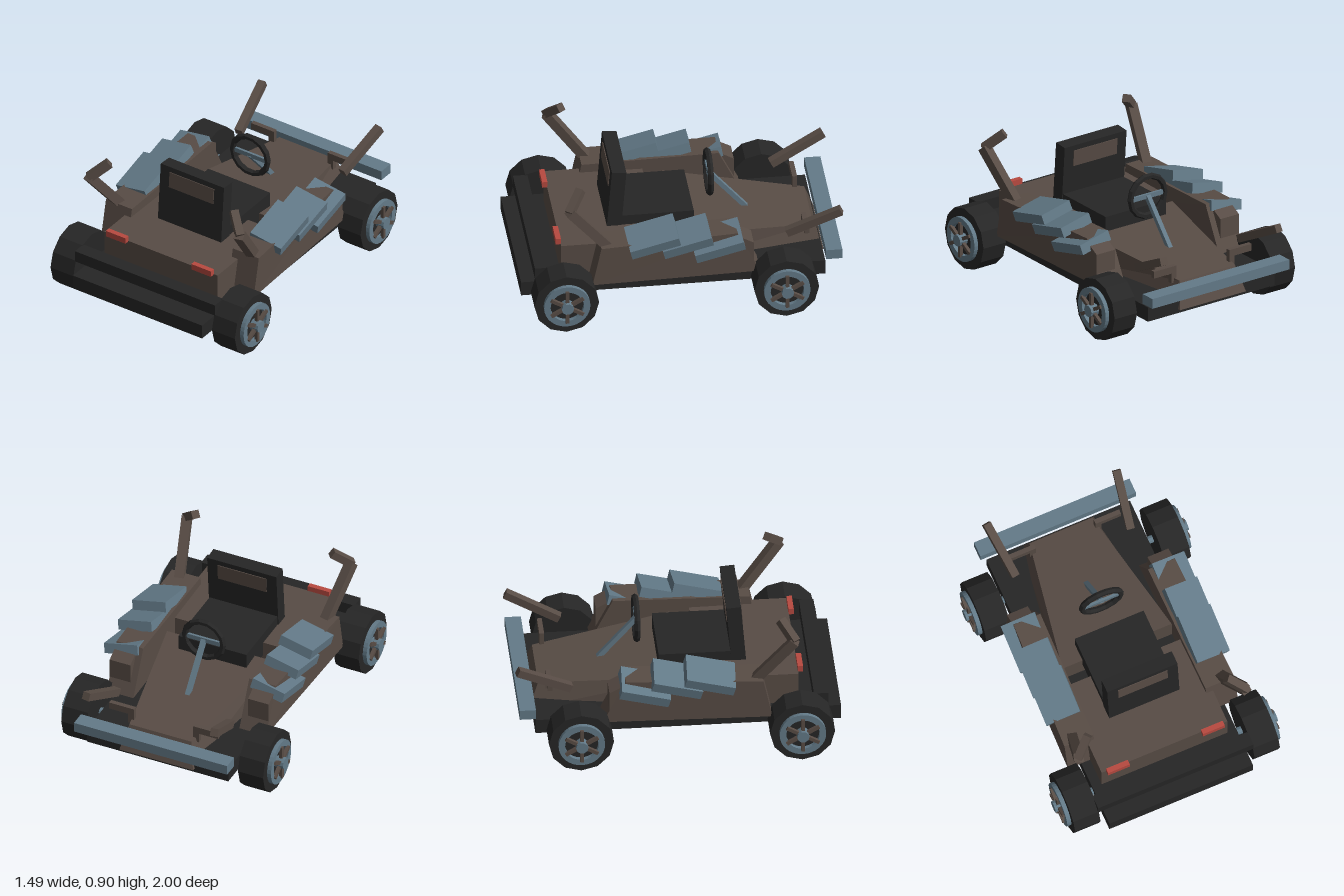
import * as THREE from 'three';

const mat = (name, color) => {
  const m = new THREE.MeshStandardMaterial({ color, flatShading: true });
  m.name = name;
  return m;
};

export function createModel() {
  const car = new THREE.Group();
  car.name = 'kart';
  const black = mat('black', 0x262626);
  const brown = mat('brown', 0x584c45);
  const steel = mat('blueGrey', 0x637a88);
  const red = mat('red', 0xb84a40);

  const add = (name, geo, material, parent = car) => {
    const m = new THREE.Mesh(geo, material);
    m.name = name;
    parent.add(m);
    return m;
  };

  // Box given by its limits on each axis
  const box = (name, material, x0, x1, y0, y1, z0, z1, parent = car) => {
    const g = new THREE.BoxGeometry(Math.abs(x1 - x0), y1 - y0, z1 - z0);
    const m = add(name, g, material, parent);
    m.position.set((x0 + x1) / 2, (y0 + y1) / 2, (z0 + z1) / 2);
    return m;
  };

  // Box whose corners are placed by a rule; side -1 mirrors it in x
  const block = (name, material, rule, side = 1) => {
    const g = new THREE.BoxGeometry(2, 2, 2);
    const p = g.attributes.position;
    for (let i = 0; i < p.count; i++) {
      const [x, y, z] = rule(p.getX(i) * side > 0, p.getY(i) > 0, p.getZ(i) > 0);
      p.setXYZ(i, x * side, y, z);
    }
    g.computeVertexNormals();
    return add(name, g, material);
  };

  // Square bar between two points
  const bar = (name, material, a, b, w, d = w) => {
    const A = new THREE.Vector3(...a), B = new THREE.Vector3(...b);
    const m = add(name, new THREE.BoxGeometry(w, d, A.distanceTo(B)), material);
    m.position.copy(A).add(B).multiplyScalar(0.5);
    m.lookAt(B);
    return m;
  };

  // Chassis, bumpers and rear deck
  box('floorPan', black, -0.48, 0.48, 0.155, 0.25, -0.88, 1);
  box('rearBumper', black, -0.52, 0.52, 0.295, 0.37, 0.83, 0.92);
  box('noseBumper', steel, -0.52, 0.52, 0.285, 0.35, -0.98, -0.88);
  box('rearDeck', brown, -0.42, 0.42, 0.25, 0.455, 0.14, 0.745);

  // Tapered hood with a sloping nose
  block('hood', brown, (px, py, pz) => {
    const half = pz ? (py ? 0.365 : 0.385) : (py ? 0.21 : 0.25);
    const y = py ? (pz ? 0.435 : 0.345) : (pz ? 0.24 : 0.18);
    return [px ? half : -half, y, pz ? 0.02 : (py ? -0.84 : -0.9)];
  });

  // Seat, leaning slightly, with a pad through the backrest
  box('seatCushion', black, -0.23, 0.23, 0.36, 0.52, -0.1, 0.36);
  const back = new THREE.Group();
  back.name = 'seatBack';
  back.position.set(0, 0.64, 0.378);
  back.rotation.x = -0.08;
  car.add(back);
  box('backrest', black, -0.235, 0.235, -0.22, 0.2, -0.045, 0.045, back);
  box('headPad', brown, -0.165, 0.165, 0.06, 0.165, -0.05, 0.05, back);

  // Steering wheel and column
  const ring = add('steeringWheel', new THREE.TorusGeometry(0.13, 0.02, 6, 14), black);
  ring.position.set(0, 0.645, -0.22);
  box('steeringSpoke', steel, -0.12, 0.12, 0.63, 0.66, -0.228, -0.212);
  bar('steeringColumn', steel, [0, 0.645, -0.22], [0, 0.37, -0.455], 0.03);

  // Wheel with rim, six spokes and hub, axis along x
  const wheel = (name, side, z) => {
    const w = new THREE.Group();
    w.name = name;
    w.position.set(0, 0.2, z);
    if (side < 0) w.rotation.y = Math.PI;
    car.add(w);
    const disc = (part, material, r, x0, x1, n) => {
      const g = new THREE.CylinderGeometry(r, r, x1 - x0, n).rotateZ(Math.PI / 2);
      add(part, g, material, w).position.x = (x0 + x1) / 2;
    };
    disc('tyre', black, 0.2, 0.515, 0.685, 12);
    disc('axle', steel, 0.025, 0.44, 0.7, 8);
    disc('hub', steel, 0.038, 0.685, 0.743, 10);
    const shape = new THREE.Shape().absarc(0, 0, 0.143, 0, Math.PI * 2);
    shape.holes.push(new THREE.Path().absarc(0, 0, 0.103, 0, Math.PI * 2, true));
    const rim = new THREE.ExtrudeGeometry(shape, { depth: 0.03, bevelEnabled: false, curveSegments: 16 });
    add('rim', rim.rotateY(Math.PI / 2), steel, w).position.x = 0.682;
    for (let i = 0; i < 6; i++) {
      const g = new THREE.BoxGeometry(0.022, 0.085, 0.022).translate(0.714, 0.072, 0);
      add('spoke', g, brown, w).rotation.x = (i * Math.PI) / 3;
    }
  };

  for (const s of [1, -1]) {
    const side = s > 0 ? 'left' : 'right';
    wheel(side + 'RearWheel', s, 0.745);
    wheel(side + 'NoseWheel', s, -0.615);

    // Side pod, with a sloped nose end
    block(side + 'Pod', brown, (px, py, pz) => [
      px ? (pz ? 0.568 : 0.54) : (pz ? 0.375 : 0.36),
      py ? (pz ? 0.51 : 0.535) : 0.25,
      pz ? (py ? 0.515 : 0.57) : (py ? -0.33 : -0.47),
    ], s);
    block(side + 'PodNose', brown, (px, py, pz) => [
      px ? 0.54 : 0.4,
      py ? (pz ? 0.53 : 0.46) : 0.25,
      pz ? -0.3 : -0.43,
    ], s);

    // Three overlapping armour panels
    [[0.19, 0.53], [-0.012, 0.515], [-0.21, 0.468]].forEach(([z, y]) => {
      const p = add(side + 'Panel', new THREE.BoxGeometry(0.225, 0.065, 0.31), steel);
      p.position.set(s * 0.497, y, z);
      p.rotation.set(0.25, 0, -s * 0.2);
    });

    // Bent posts behind the seat
    bar(side + 'RearPost', brown, [s * 0.495, 0.48, 0.465], [s * 0.558, 0.79, 0.71], 0.06);
    bar(side + 'RearPostTip', brown, [s * 0.562, 0.785, 0.712], [s * 0.462, 0.885, 0.63], 0.05);

    // Raised arms on the nose and their brackets
    box(side + 'ArmBracket', brown, s * 0.2, s * 0.37, 0.385, 0.43, -0.795, -0.765);
    box(side + 'BracketFoot', brown, s * 0.2, s * 0.24, 0.32, 0.4, -0.795, -0.765);
    bar(side + 'NoseArm', brown, [s * 0.385, 0.418, -0.655], [s * 0.435, 0.582, -0.985], 0.05);

    box(side + 'TailLight', red, s * 0.245, s * 0.39, 0.45, 0.49, 0.742, 0.775);
  }
  return car;
}
